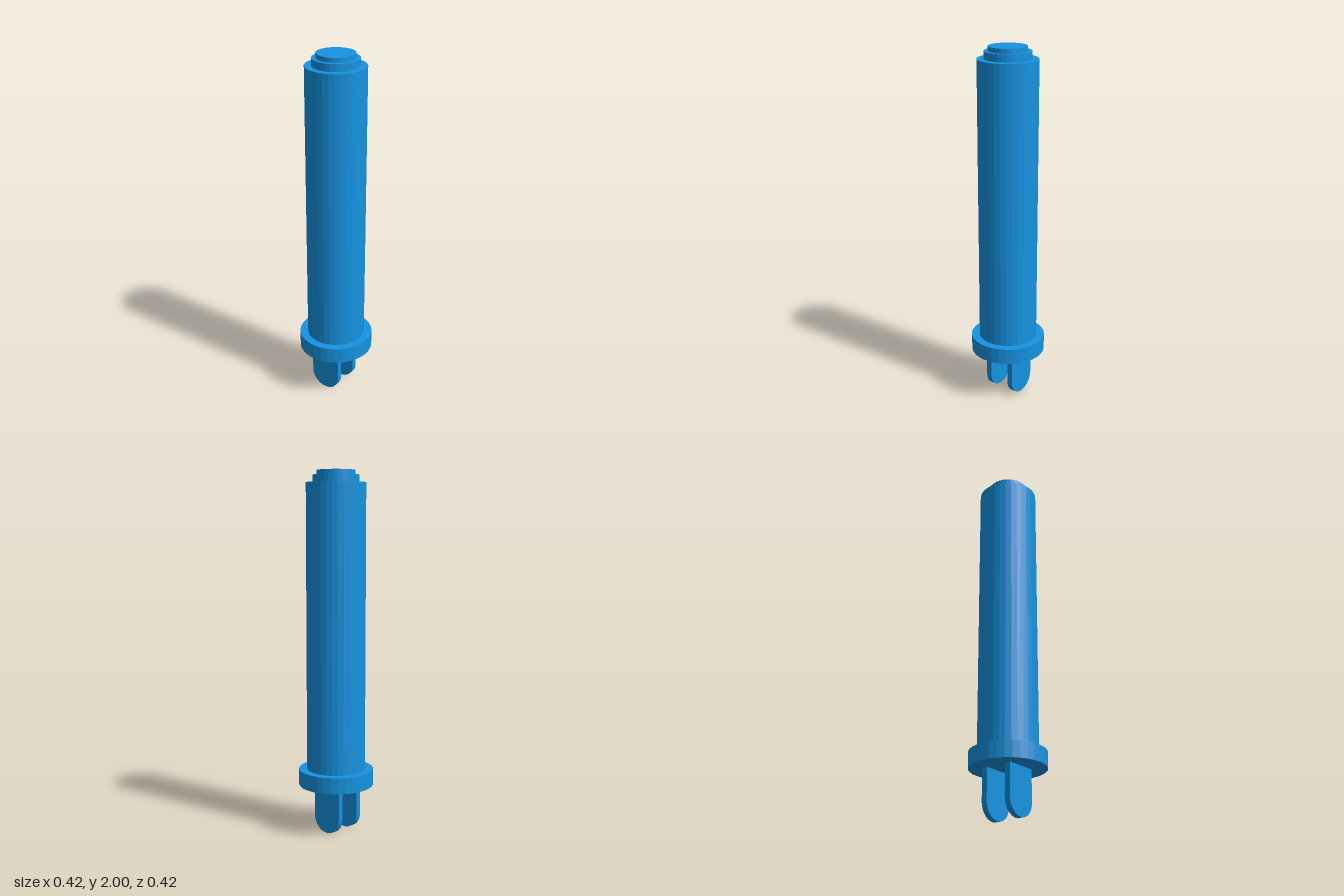
import * as THREE from 'three';

export function createModel() {
  const model = new THREE.Group();
  const material = new THREE.MeshStandardMaterial({ color: 0x1593e0, flatShading: true });

  function add(name, geometry) {
    const mesh = new THREE.Mesh(geometry, material);
    mesh.name = name;
    model.add(mesh);
    return mesh;
  }

  // Stacked round parts: name, radius, bottom, top
  const discs = [
    ['baseFlange', 0.208, 0.265, 0.355],
    ['body', 0.163, 0.355, 1.935],
    ['collar', 0.126, 1.935, 1.975],
    ['topCap', 0.104, 1.975, 2],
  ];
  for (const [name, radius, bottom, top] of discs) {
    add(name, new THREE.CylinderGeometry(radius, radius, top - bottom, 32))
      .position.y = (bottom + top) / 2;
  }

  // Flat prongs with round tips, drawn in the z-y plane
  const r = 0.09, thickness = 0.033;
  const outline = new THREE.Shape();
  outline.moveTo(r, 0.265);
  outline.lineTo(-r, 0.265);
  outline.lineTo(-r, r);
  outline.absarc(0, r, r, Math.PI, 2 * Math.PI, false);
  outline.closePath();
  const prong = new THREE.ExtrudeGeometry(outline, { depth: thickness, bevelEnabled: false, curveSegments: 8 });
  prong.translate(0, 0, -thickness / 2).rotateY(Math.PI / 2);
  for (const [name, x] of [['leftProng', 0.074], ['rightProng', -0.076]]) {
    add(name, prong).position.set(x, 0, -0.01);
  }

  return model;
}
